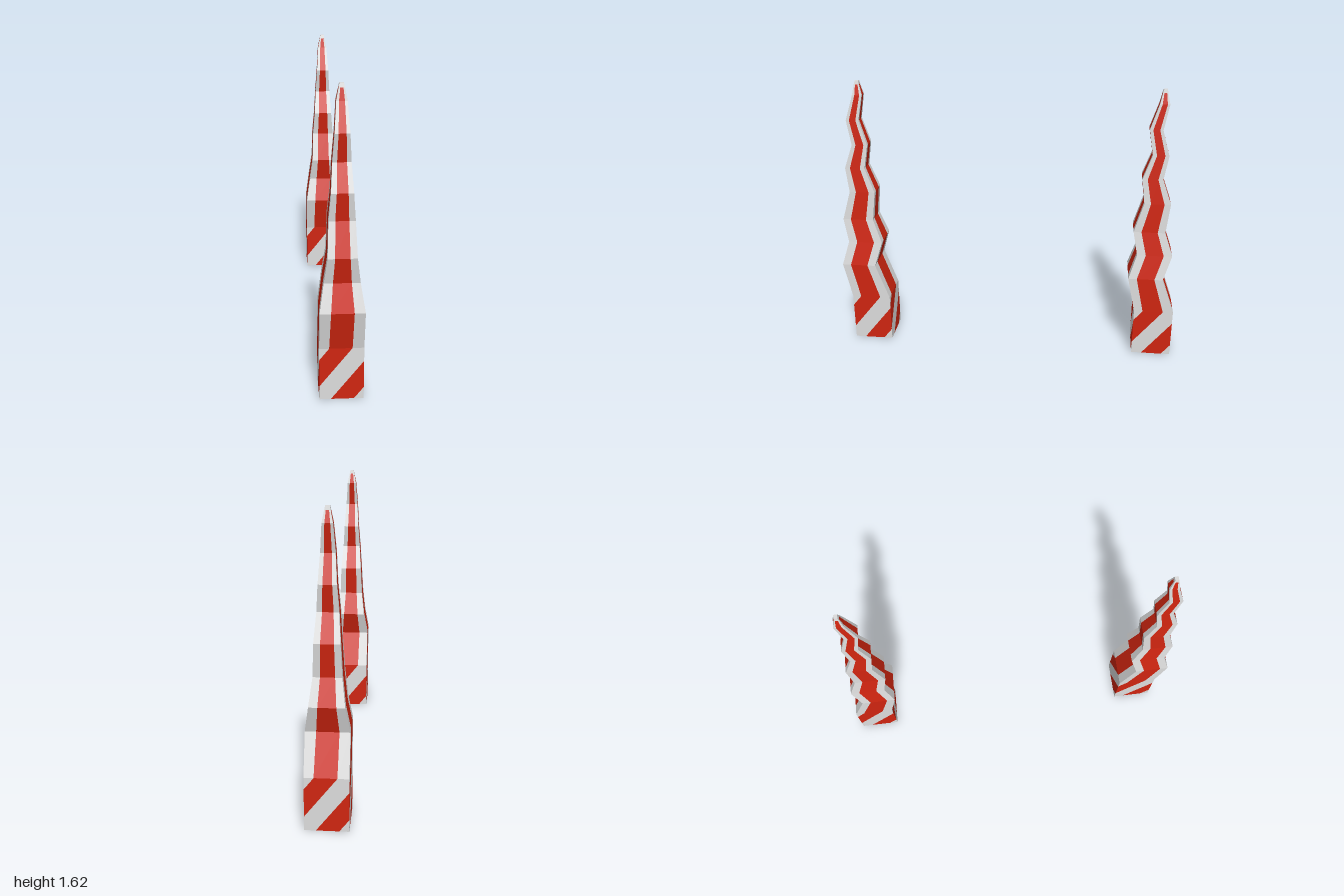
import * as THREE from 'three';

// Square rings up the spike: [height, half width in x, max z, min z]
const RINGS = [
  [0, 0.114, 0.953, 0.723], [0.29, 0.114, 0.953, 0.723], [0.505, 0.114, 1.0, 0.8],
  [0.65, 0.091, 0.957, 0.755], [0.79, 0.073, 0.985, 0.804], [0.965, 0.066, 0.935, 0.785],
  [1.11, 0.055, 0.954, 0.838], [1.25, 0.046, 0.906, 0.815], [1.395, 0.037, 0.932, 0.858],
  [1.54, 0.027, 0.887, 0.832], [1.6, 0.015, 0.875, 0.846], [1.62, 0.011, 0.87, 0.85],
];

// Diagonal hazard stripes on a unit square
const WHITE_STRIPES = [
  [[0.78, 0], [1, 0], [1, 0.22]],
  [[0, 0], [0.26, 0], [1, 0.74], [1, 1], [0.74, 1], [0, 0.26]],
  [[0, 0.78], [0.22, 1], [0, 1]],
];
const RED_STRIPES = [
  [[0.26, 0], [0.78, 0], [1, 0.22], [1, 0.74]],
  [[0, 0.26], [0.74, 1], [0.22, 1], [0, 0.78]],
];

// Corner of a ring, counted round from front left
function corner(ring, k) {
  const [y, hw, zMax, zMin] = ring;
  const i = k % 4;
  return new THREE.Vector3(i === 1 || i === 2 ? hw : -hw, y, i < 2 ? zMax : zMin);
}

// Point on one side panel between two rings; u runs left to right, v upwards
function panelPoint(lower, upper, side, u, v) {
  const a = corner(lower, side).lerp(corner(lower, side + 1), u);
  const b = corner(upper, side).lerp(corner(upper, side + 1), u);
  return a.lerp(b, v);
}

// Flat-faced geometry from convex polygons
function polygons(list) {
  const pos = [];
  for (const poly of list) {
    for (let i = 1; i < poly.length - 1; i++) {
      for (const p of [poly[0], poly[i], poly[i + 1]]) pos.push(p.x, p.y, p.z);
    }
  }
  const geo = new THREE.BufferGeometry();
  geo.setAttribute('position', new THREE.Float32BufferAttribute(pos, 3));
  geo.computeVertexNormals();
  return geo;
}

function buildSpike(white, red) {
  const baseWhite = [], baseRed = [], shaftWhite = [], shaftRed = [];
  const [bottom, shoulder] = RINGS;
  const tip = RINGS[RINGS.length - 1];

  // Striped base: four sides and the underside
  const addStripes = (stripes, out) => {
    for (const poly of stripes) {
      for (let s = 0; s < 4; s++) {
        out.push(poly.map(([u, v]) => panelPoint(bottom, shoulder, s, u, v)));
      }
      out.push(poly.map(([u, v]) => new THREE.Vector3(
        THREE.MathUtils.lerp(-bottom[1], bottom[1], u), 0,
        THREE.MathUtils.lerp(bottom[3], bottom[2], v))));
    }
  };
  addStripes(WHITE_STRIPES, baseWhite);
  addStripes(RED_STRIPES, baseRed);

  // Wavy shaft: a red band down the middle of each side, white edges
  for (let i = 1; i < RINGS.length - 1; i++) {
    const lo = i === 1 ? [0, 0.22, 0.74, 1] : [0, 0.25, 0.76, 1];
    const hi = [0, 0.25, 0.76, 1];
    for (let s = 0; s < 4; s++) {
      for (let k = 0; k < 3; k++) {
        const at = (u, v) => panelPoint(RINGS[i], RINGS[i + 1], s, u, v);
        const isRed = k === 1 && i < RINGS.length - 2;
        (isRed ? shaftRed : shaftWhite).push(
          [at(lo[k], 0), at(lo[k + 1], 0), at(hi[k + 1], 1), at(hi[k], 1)]);
      }
    }
  }
  // Flat tip
  shaftWhite.push([0, 1, 2, 3].map((k) => corner(tip, k)));

  const group = new THREE.Group();
  const add = (name, list, material) => {
    const mesh = new THREE.Mesh(polygons(list), material);
    mesh.name = name;
    group.add(mesh);
  };
  add('baseWhiteStripes', baseWhite, white);
  add('baseRedStripes', baseRed, red);
  add('shaftWhiteEdges', shaftWhite, white);
  add('shaftRedBands', shaftRed, red);
  return group;
}

export function createModel() {
  const white = new THREE.MeshStandardMaterial({ color: 0xdcdcdc });
  white.name = 'white';
  const red = new THREE.MeshStandardMaterial({ color: 0xcf2510 });
  red.name = 'red';

  const model = new THREE.Group();
  model.name = 'stripedSpikes';

  // Two identical spikes, both bent the same way
  const front = buildSpike(white, red);
  front.name = 'frontSpike';
  const back = front.clone();
  back.name = 'backSpike';
  back.position.z = -1.723;
  model.add(front, back);
  return model;
}
